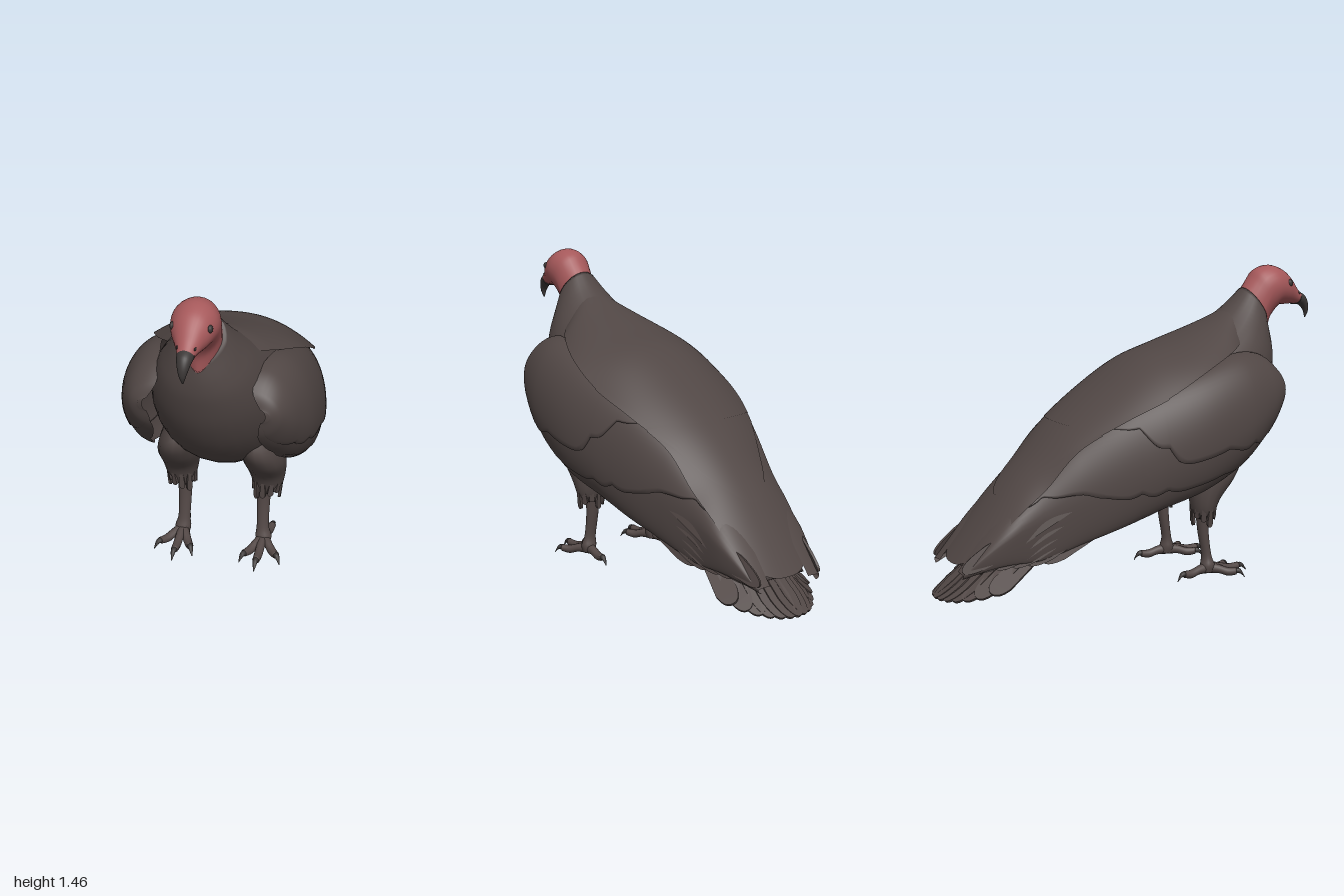
import * as THREE from 'three';

const V = (x, y, z) => new THREE.Vector3(x, y, z);
const mat = (name, color) => new THREE.MeshStandardMaterial({ name, color, side: THREE.DoubleSide });

// Catmull-Rom sample of a table; u runs in row units
function sample(rows, u) {
  const n = rows.length - 1, i = Math.min(Math.floor(u), n - 1), t = u - i;
  const [a, b, c, d] = [Math.max(i - 1, 0), i, i + 1, Math.min(i + 2, n)].map(k => rows[k]);
  return b.map((_, k) => 0.5 * (2 * b[k] + (c[k] - a[k]) * t
    + (2 * a[k] - 5 * b[k] + 4 * c[k] - d[k]) * t * t
    + (3 * b[k] - a[k] - 3 * c[k] + d[k]) * t * t * t));
}

// Smooth surface from a rule fn(i, j), optionally closed around j
function grid(nu, nv, fn, closed = false) {
  const pos = [], idx = [], cols = closed ? nv : nv + 1;
  for (let i = 0; i <= nu; i++) for (let j = 0; j < cols; j++) pos.push(...fn(i, j).toArray());
  for (let i = 0; i < nu; i++) for (let j = 0; j < nv; j++) {
    const a = i * cols + j, b = i * cols + (j + 1) % cols, c = a + cols, d = b + cols;
    idx.push(a, c, b, b, c, d);
  }
  const g = new THREE.BufferGeometry();
  g.setAttribute('position', new THREE.Float32BufferAttribute(pos, 3));
  g.setIndex(idx);
  g.computeVertexNormals();
  return g;
}

// Capped loft; section(u) gives centre c, half-axes a, b and a power that points the lower half
function loft(count, section, steps = 5, sides = 28) {
  const n = (count - 1) * steps;
  return grid(n + 2, sides, (i, j) => {
    const { c, a, b, power = 1 } = section(THREE.MathUtils.clamp(i - 1, 0, n) / steps);
    const k = i === 0 || i === n + 2 ? 0 : 1, q = j / sides * Math.PI * 2;
    const p = Math.sin(q) < 0 ? power : 1;
    const bend = t => k * Math.sign(t) * Math.abs(t) ** p;
    return c.clone().addScaledVector(a, bend(Math.cos(q))).addScaledVector(b, bend(Math.sin(q)));
  }, true);
}

// Rows: [back z, back y, front z, front y, half width, power of the front half]
const profileLoft = rows => loft(rows.length, u => {
  const [bz, by, fz, fy, w, power] = sample(rows, u);
  return { c: V(0, (by + fy) / 2, (bz + fz) / 2), a: V(w, 0, 0), b: V(0, (by - fy) / 2, (bz - fz) / 2), power };
});

// Rows: [x, y, z, half width x, half depth z]
const limbLoft = rows => loft(rows.length, u => {
  const [x, y, z, rx, rz] = sample(rows, u);
  return { c: V(x, y, z), a: V(rx, 0, 0), b: V(0, 0, rz) };
}, 5, 16);

// Tapered toe or claw through points [x, y, z, radius]
function toeLoft(rows) {
  const f = rows[0], l = rows[rows.length - 1];
  const side = V(l[2] - f[2], 0, f[0] - l[0]).normalize();
  return loft(rows.length, u => {
    const [x, y, z, r] = sample(rows, u);
    return { c: V(x, y, z), a: side.clone().multiplyScalar(r), b: V(0, r, 0) };
  }, 4, 10);
}

// Thin round-ended feather from p to q
function feather(p, q, width, normal) {
  const y = q.clone().sub(p), len = y.length();
  y.normalize();
  const x = new THREE.Vector3().crossVectors(y, normal).normalize();
  const z = new THREE.Vector3().crossVectors(x, y);
  const s = new THREE.Shape();
  s.moveTo(-width * 0.3, 0);
  s.lineTo(-width * 0.5, len * 0.8);
  s.quadraticCurveTo(-width * 0.4, len, 0, len);
  s.quadraticCurveTo(width * 0.4, len, width * 0.5, len * 0.8);
  s.lineTo(width * 0.3, 0);
  const g = new THREE.ExtrudeGeometry(s, { depth: 0.012, bevelEnabled: false });
  return g.applyMatrix4(new THREE.Matrix4().makeBasis(x, y, z).setPosition(p));
}

// Wing rows: [z, top y, top x, middle y, middle x, bottom y, bottom x]
const WING = [
  [0.67, 0.93, 0.25, 0.9, 0.27, 0.87, 0.25], [0.64, 1.0, 0.21, 0.89, 0.32, 0.78, 0.23],
  [0.55, 1.065, 0.22, 0.84, 0.375, 0.67, 0.26], [0.4, 1.075, 0.25, 0.77, 0.42, 0.55, 0.3],
  [0.2, 1.02, 0.27, 0.7, 0.43, 0.46, 0.33], [0, 0.95, 0.25, 0.62, 0.405, 0.4, 0.32],
  [-0.2, 0.85, 0.22, 0.54, 0.355, 0.33, 0.3], [-0.4, 0.72, 0.16, 0.46, 0.295, 0.265, 0.265],
  [-0.57, 0.56, 0.13, 0.39, 0.25, 0.21, 0.235], [-0.75, 0.385, 0.11, 0.31, 0.232, 0.2, 0.215],
  [-0.93, 0.175, 0.11, 0.17, 0.175, 0.15, 0.155]];

// One layer of wing plumage with an irregular scalloped lower edge and a small rim
function wingLayer(uEnd, edges, off, scallop) {
  const nu = 120, nv = 18;
  return grid(nu, nv + 1, (i, j) => {
    const u = i / nu * uEnd, [z, yt, xt, ym, xm, yb, xb] = sample(WING, u);
    const end = sample(edges, i / nu * (edges.length - 1))[0];
    const wave = 1 - Math.abs(Math.sin(u * 3.2 + Math.sin(u * 2.3)));
    const v = Math.min(j, nv) / nv * (end - scallop * wave);
    const s = Math.sin(v * Math.PI), c = Math.cos(v * Math.PI), o = j > nv ? off - 0.014 : off;
    const [x0, y0] = v < 0.5 ? [xt, yt - ym] : [xb, ym - yb];
    return V(x0 + (xm - x0) * s + o * s, ym + y0 * c, z);
  });
}

// Back rows: [z, ridge y, half width, edge y]
const BACK = [
  [0.52, 1.25, 0.16, 1.12], [0.4, 1.19, 0.26, 1.075], [0.2, 1.115, 0.345, 1.0], [0, 1.05, 0.36, 0.9],
  [-0.2, 0.925, 0.325, 0.81], [-0.4, 0.775, 0.26, 0.69], [-0.55, 0.63, 0.235, 0.53],
  [-0.7, 0.47, 0.215, 0.4], [-0.92, 0.19, 0.17, 0.165]];

// Back plumage draped over the ridge, ending in a rounded edge
function backLayer(u0, u1, off, round) {
  return grid(40, 32, (i, j) => {
    const s = j / 16 - 1, t = i / 40;
    const u = THREE.MathUtils.lerp(u0, u1 - round * Math.abs(s) ** 2.4, t);
    const [z, y, w, e] = sample(BACK, u);
    return V(w * s, y + (e - y) * Math.abs(s) ** 2.3 + off, z);
  });
}

export function createModel() {
  const model = new THREE.Group();
  model.name = 'vulture';
  const plumage = mat('dark brown plumage', 0x504644), skin = mat('red skin', 0xa5585a);
  const horn = mat('dark horn', 0x3b3736), legSkin = mat('brown leg skin', 0x534846);
  const add = (name, geo, m, parent = model) => {
    const mesh = new THREE.Mesh(geo, m);
    mesh.name = name;
    parent.add(mesh);
    return mesh;
  };

  add('body', profileLoft([
    [0.615, 1.355, 0.745, 1.145, 0.102, 1.4], [0.53, 1.275, 0.752, 1.06, 0.155, 1.1],
    [0.42, 1.2, 0.74, 0.96, 0.215, 1], [0.25, 1.13, 0.69, 0.81, 0.275, 1], [0.1, 1.08, 0.59, 0.65, 0.31, 1],
    [-0.02, 1.035, 0.44, 0.51, 0.325, 1], [-0.2, 0.915, 0.22, 0.4, 0.305, 1], [-0.4, 0.765, 0, 0.385, 0.26, 1],
    [-0.58, 0.585, -0.25, 0.335, 0.22, 1], [-0.75, 0.395, -0.5, 0.25, 0.185, 1],
    [-0.9, 0.19, -0.8, 0.14, 0.15, 1]]), plumage);
  add('mantle', backLayer(0, 5, 0.01, 0.5), plumage);
  add('lowerBack', backLayer(3, 7, 0.005, 2.3), plumage);
  add('rump', backLayer(4.5, 8, 0, 0.5), plumage);

  // Head, bill and face
  add('head', profileLoft([
    [0.6, 1.33, 0.75, 1.12, 0.088, 1.4], [0.65, 1.395, 0.757, 1.19, 0.094, 1.25], [0.69, 1.44, 0.785, 1.242, 0.1, 1],
    [0.76, 1.459, 0.81, 1.262, 0.101, 1], [0.83, 1.437, 0.85, 1.264, 0.085, 1], [0.88, 1.395, 0.885, 1.265, 0.062, 1],
    [0.92, 1.345, 0.915, 1.265, 0.043, 1], [0.95, 1.315, 0.935, 1.266, 0.034, 1]]), skin);
  add('bill', profileLoft([
    [0.94, 1.322, 0.928, 1.262, 0.037, 1], [0.975, 1.303, 0.95, 1.254, 0.031, 1],
    [0.996, 1.265, 0.966, 1.24, 0.023, 1], [1.0, 1.225, 0.977, 1.222, 0.014, 1],
    [0.987, 1.192, 0.983, 1.192, 0.003, 1]]), horn);
  add('lowerBill', toeLoft([[0, 1.277, 0.9, 0.016], [0, 1.272, 0.935, 0.014], [0, 1.264, 0.957, 0.006]]), horn);

  // Tail fan, its side feathers shorter and arched downward
  for (let i = -6; i <= 6; i++) {
    const s = i / 6, a = Math.abs(s);
    add('tailFeather', feather(V(s * 0.15, 0.37 - a * a * 0.11, -0.56 + a * 0.05),
      V(s * 0.215, 0.03 + a ** 3 * 0.05, -0.995 + a ** 2 * 0.18), 0.1, V(s * 0.7, 0.8, -0.6)), plumage);
  }
  // Feathers under the tail
  for (let i = -3; i <= 3; i++) {
    const s = i / 3, a = Math.abs(s);
    add('undertailCovert', feather(V(s * 0.11, 0.335, -0.3), V(s * 0.15, 0.195 + a * a * 0.05, -0.62 + a * 0.06),
      0.09, V(s * 0.3, -0.8, 0.5)), plumage);
  }

  // Wings, legs, feet and eyes, mirrored
  for (const side of [1, -1]) {
    const half = new THREE.Group();
    half.name = side > 0 ? 'leftSide' : 'rightSide';
    half.scale.x = side;
    model.add(half);

    add('flightFeathers', wingLayer(10, [[1], [1], [1], [1]], 0, 0.04), plumage, half);
    add('middleCoverts', wingLayer(8.6, [[1], [0.97], [0.83], [0.7], [0.5], [0.25]], 0.008, 0.035), plumage, half);
    add('upperCoverts', wingLayer(6.4, [[0.95], [0.83], [0.65], [0.52], [0.15]], 0.02, 0.04), plumage, half);
    for (let i = 0; i < 6; i++) {
      const t = i / 5;
      add('primary', feather(V(0.29, 0.42 + t * 0.12, -0.15 - t * 0.15),
        V(0.215 - t * 0.05, 0.2 - t * 0.015, -0.57 - t * 0.36), 0.09, V(1, 0.3, -0.2)), plumage, half);
    }

    add('thigh', limbLoft([
      [0.17, 0.72, 0.32, 0.04, 0.1], [0.185, 0.6, 0.33, 0.09, 0.16], [0.2, 0.5, 0.325, 0.1, 0.125],
      [0.205, 0.4, 0.285, 0.085, 0.075], [0.205, 0.33, 0.275, 0.068, 0.052], [0.195, 0.295, 0.28, 0.05, 0.038]]),
    plumage, half);
    // Ragged feather cuff above the shin
    for (let i = 0; i < 11; i++) {
      const q = i / 11 * Math.PI * 2, x = Math.cos(q), z = Math.sin(q);
      add('cuffFeather', feather(V(0.205 + x * 0.062, 0.36, 0.277 + z * 0.046),
        V(0.2 + x * 0.055, 0.262 + (i * 3 % 4) * 0.013, 0.278 + z * 0.042), 0.028, V(x, 0, z)), plumage, half);
    }
    add('shin', limbLoft([
      [0.19, 0.32, 0.28, 0.036, 0.03], [0.188, 0.22, 0.288, 0.031, 0.025], [0.19, 0.11, 0.305, 0.029, 0.023],
      [0.195, 0.06, 0.31, 0.038, 0.034], [0.195, 0.025, 0.31, 0.03, 0.035]]), legSkin, half);

    for (const [x, z] of [[0.195, 0.53], [0.3, 0.455], [0.112, 0.475], [0.215, 0.135]]) {
      const at = (t, y, r) => [0.195 + (x - 0.195) * t, y, 0.31 + (z - 0.31) * t, r];
      add('toe', toeLoft([at(0, 0.045, 0.028), at(0.3, 0.04, 0.021), at(0.55, 0.028, 0.02),
        at(0.78, 0.032, 0.017)]), legSkin, half);
      add('claw', toeLoft([at(0.74, 0.033, 0.014), at(0.88, 0.032, 0.011), at(1, 0.004, 0.002)]), horn, half);
    }

    const eye = add('eye', new THREE.SphereGeometry(0.017, 16, 12), horn, half);
    eye.position.set(0.078, 1.372, 0.838);
    eye.scale.x = 0.7;
    const nostril = add('nostril', new THREE.SphereGeometry(0.01, 12, 8), horn, half);
    nostril.position.set(0.037, 1.318, 0.918);
    nostril.scale.set(0.5, 0.7, 1.4);
  }
  return model;
}
